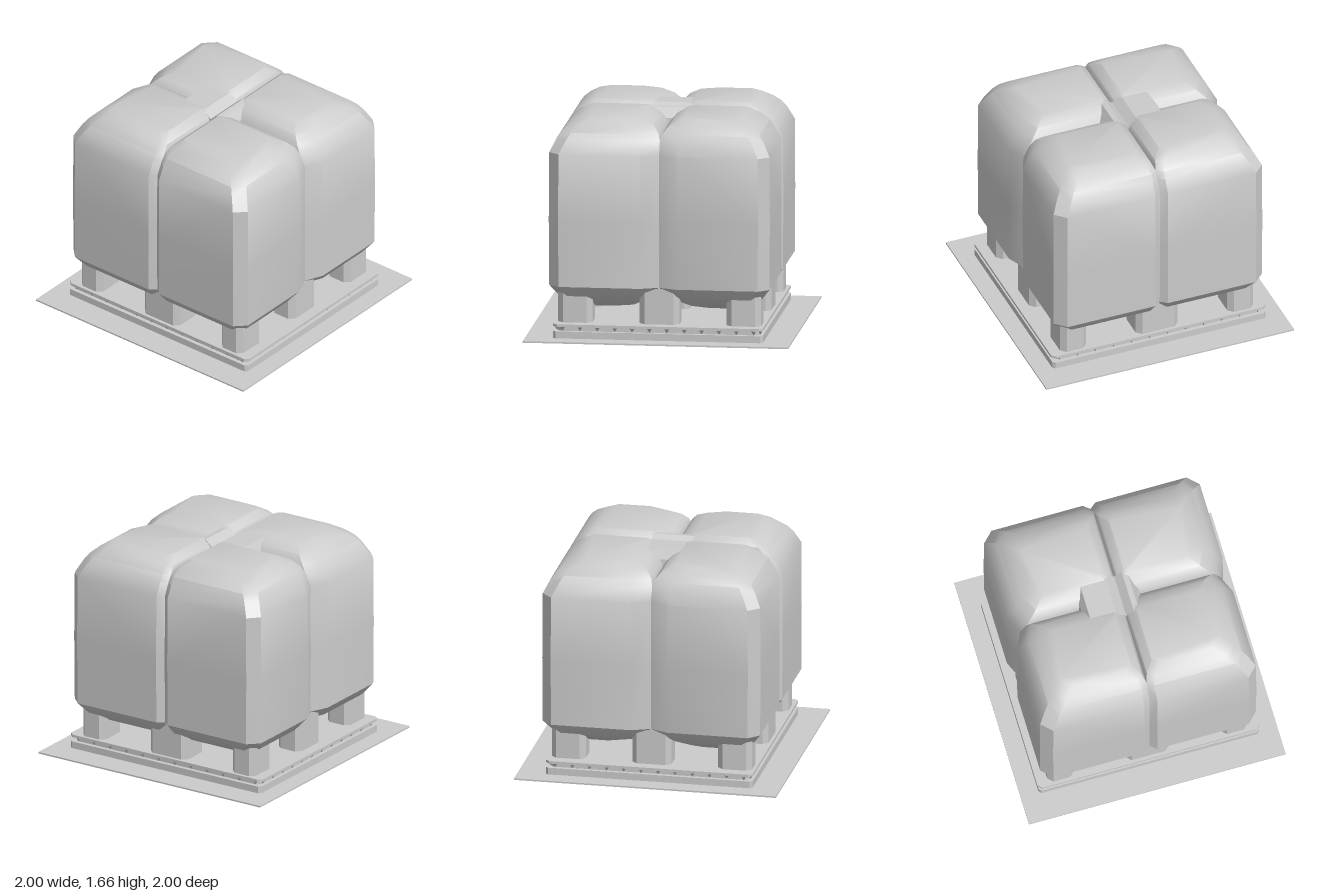
import * as THREE from 'three';
import { toCreasedNormals } from 'three/addons/utils/BufferGeometryUtils.js';

const grey = new THREE.MeshStandardMaterial({ color: 0xcccccc });

function add(parent, name, geometry, x = 0, y = 0, z = 0) {
  const mesh = new THREE.Mesh(geometry, grey);
  mesh.name = name;
  mesh.position.set(x, y, z);
  parent.add(mesh);
  return mesh;
}

// Heights with insets: y, outer sides, inner x side, inner z side
const levels = [
  [0.22, 0.24, 0.12, 0.22], [0.26, 0.15, 0.05, 0.16], [0.32, 0.06, 0.02, 0.07],
  [0.40, 0, 0, 0], [0.9, -0.003, 0, 0], [1.41, 0, 0, 0], [1.51, 0.05, 0, 0],
  [1.56, 0.085, 0, 0.015], [1.61, 0.14, 0.02, 0.06], [1.66, 0.22, 0.08, 0.15],
];

// One stuffed sack, lofted through chamfered rings and mirrored into its quadrant
function sackGeometry(sx, sz) {
  const pos = [], index = [];
  const flip = sx * sz < 0;
  const tri = (a, b, c) => (flip ? index.push(a, c, b) : index.push(a, b, c));
  const n = 8;
  for (const [y, out, inX, inZ] of levels) {
    const X = 0.84 - out, Z = 0.83 - out, x = inX, z = inZ;
    const ring = [
      [X, Z - 0.08], [X, z + 0.14], [X - 0.06, z], [x + 0.02, z],
      [x, z + 0.02], [x, Z - 0.04], [x + 0.05, Z], [X - 0.08, Z],
    ];
    for (const [px, pz] of ring) pos.push(px * sx, y, pz * sz);
  }
  for (let l = 0; l < levels.length - 1; l++) {
    for (let k = 0; k < n; k++) {
      const a = l * n + k, b = l * n + (k + 1) % n;
      tri(a, b, b + n);
      tri(a, b + n, a + n);
    }
  }
  const top = (levels.length - 1) * n;
  for (let k = 1; k < n - 1; k++) {
    tri(0, k + 1, k);
    tri(top, top + k, top + k + 1);
  }
  const g = new THREE.BufferGeometry();
  g.setAttribute('position', new THREE.Float32BufferAttribute(pos, 3));
  g.setIndex(index);
  return toCreasedNormals(g, 0.6);
}

// Flat prism standing on y = 0, with cut corners
function cutBlock(w, d, h, cut) {
  const x = w / 2, z = d / 2;
  const shape = new THREE.Shape([
    [x, -z + cut], [x, z - cut], [x - cut, z], [-x + cut, z],
    [-x, z - cut], [-x, -z + cut], [-x + cut, -z], [x - cut, -z],
  ].map(([a, b]) => new THREE.Vector2(a, b)));
  const g = new THREE.ExtrudeGeometry(shape, { depth: h, bevelEnabled: false });
  return g.rotateX(-Math.PI / 2);
}

export function createModel() {
  const model = new THREE.Group();
  model.name = 'palletOfSacks';

  add(model, 'groundPlate', new THREE.BoxGeometry(2, 0.012, 2), 0, 0.006, 0);

  // Pallet: base slab, recessed band, thin deck
  const pallet = new THREE.Group();
  pallet.name = 'pallet';
  model.add(pallet);
  add(pallet, 'palletBase', cutBlock(1.72, 1.58, 0.055, 0.02), 0, 0.01, 0);
  add(pallet, 'palletBand', cutBlock(1.66, 1.52, 0.045, 0.03), 0, 0.06, 0);
  add(pallet, 'palletDeck', cutBlock(1.73, 1.58, 0.02, 0.03), 0, 0.1, 0);

  // Small braces hanging under the deck edge
  const brace = new THREE.ConeGeometry(0.025, 0.04, 4).rotateX(Math.PI);
  for (const s of [-1, 1]) {
    for (let i = 0; i < 12; i++) {
      const t = (i - 5.5) / 5.5;
      add(pallet, 'edgeBrace', brace, t * 0.8, 0.085, s * 0.765);
      add(pallet, 'edgeBrace', brace, s * 0.835, 0.085, t * 0.72);
    }
  }

  // Feet in a three by three grid between deck and sacks
  for (const i of [-1, 0, 1]) {
    for (const j of [-1, 0, 1]) {
      const w = i ? 0.21 : 0.34, d = j ? 0.26 : 0.3;
      add(pallet, 'foot', cutBlock(w, d, 0.28, 0.04), i * 0.675, 0.11, j * 0.635);
    }
  }

  // Four sacks, two by two
  for (const sx of [-1, 1]) {
    for (const sz of [-1, 1]) {
      add(model, 'sack', sackGeometry(sx, sz));
    }
  }

  // Cloth bridging the valley between front and back sacks at the middle
  const web = new THREE.Shape([
    [-0.32, 1.5], [0.16, 1.5], [0.15, 1.57], [0.1, 1.645], [0.06, 1.65],
    [0, 1.6], [-0.07, 1.65], [-0.27, 1.65], [-0.31, 1.58],
  ].map(([a, b]) => new THREE.Vector2(a, b)));
  const webGeometry = new THREE.ExtrudeGeometry(web, { depth: 0.32, bevelEnabled: false });
  add(model, 'middleBridge', webGeometry, 0, 0, -0.16);

  return model;
}
